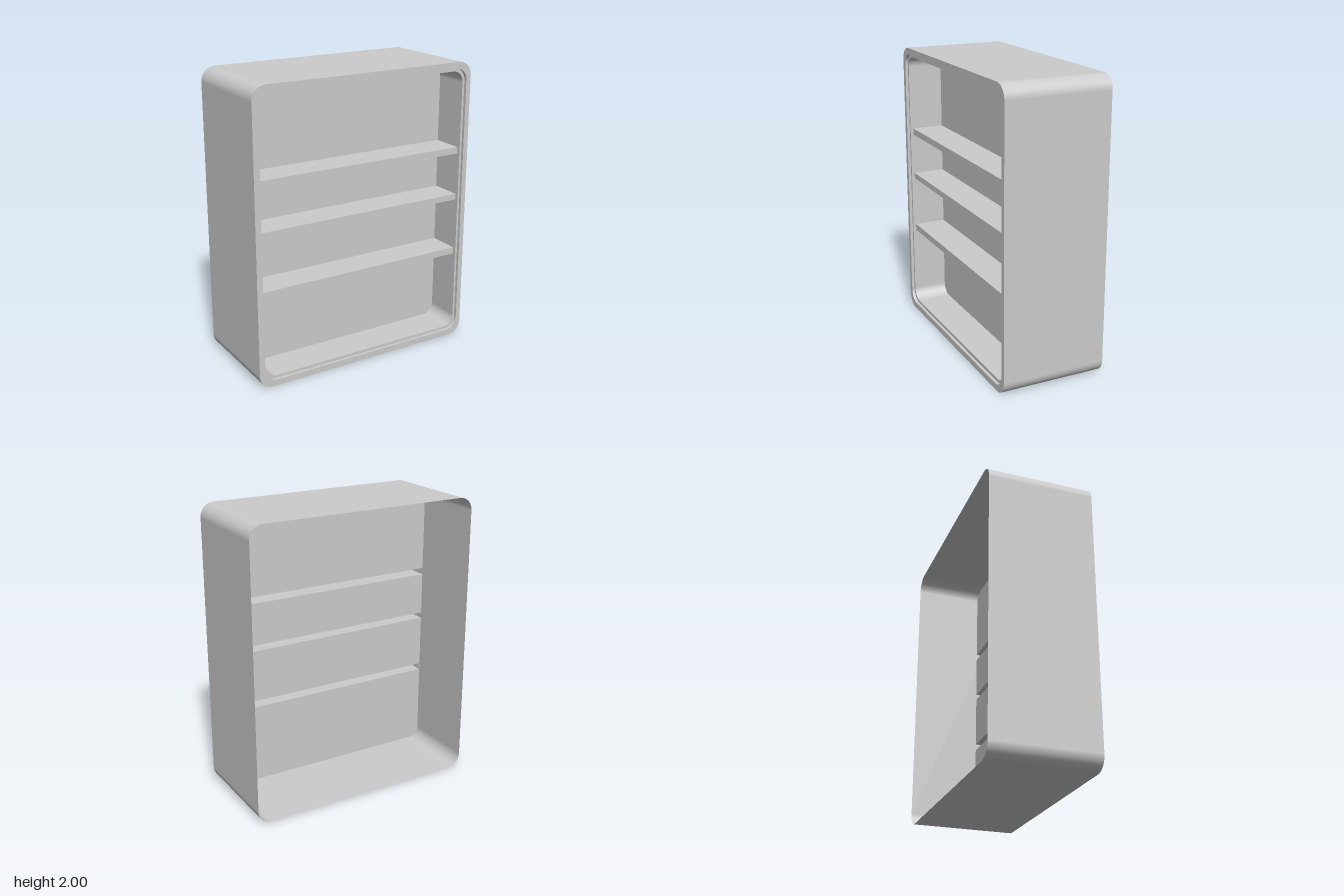
import * as THREE from 'three';

const material = new THREE.MeshStandardMaterial({ color: 0xcccccc, side: THREE.DoubleSide });
const CY = 1; // height of the cabinet centre
const FRONT = 0.363, LIP = 0.343, PANEL = 0.097, SHELF_FRONT = 0.322;
const INNER = { w: 0.767, h: 0.936, r: 0.08 };

// Rounded rectangle (half sizes w, h) as points with outward normals, counter-clockwise
function ring({ w, h, r, y = CY }, segments) {
  const points = [];
  [[1, 1], [-1, 1], [-1, -1], [1, -1]].forEach(([sx, sy], corner) => {
    for (let i = 0; i <= segments; i++) {
      const a = (corner + i / segments) * Math.PI / 2;
      const nx = Math.cos(a), ny = Math.sin(a);
      points.push({ x: sx * (w - r) + nx * r, y: y + sy * (h - r) + ny * r, nx, ny });
    }
  });
  return points;
}

// Strip between two rings: a wall when z changes, a flat rim when it does not
function band(name, from, zFrom, to, zTo, segments = 12) {
  const a = ring(from, segments), b = ring(to, segments), n = a.length;
  const position = [], normal = [], index = [];
  const side = Math.sign(zTo - zFrom);
  [[a, zFrom], [b, zTo]].forEach(([loop, z]) => loop.forEach((p) => {
    position.push(p.x, p.y, z);
    normal.push(p.nx * side, p.ny * side, side === 0 ? 1 : 0);
  }));
  for (let i = 0; i < n; i++) {
    const j = (i + 1) % n;
    index.push(i, j, n + j, i, n + j, n + i);
  }
  const geometry = new THREE.BufferGeometry();
  geometry.setAttribute('position', new THREE.Float32BufferAttribute(position, 3));
  geometry.setAttribute('normal', new THREE.Float32BufferAttribute(normal, 3));
  geometry.setIndex(index);
  return mesh(name, geometry);
}

function mesh(name, geometry) {
  const m = new THREE.Mesh(geometry, material);
  m.name = name;
  return m;
}

export function createModel() {
  const group = new THREE.Group();
  group.name = 'shelfCabinet';

  const outer = { w: 0.818, h: 1, r: 0.095 };
  const step = { w: 0.783, h: 0.957, r: 0.085 };

  // Casing, open at the back, with a stepped front rim and an inset cavity
  group.add(
    band('outerCasing', outer, -FRONT, outer, FRONT),
    band('frontRim', outer, FRONT, step, FRONT),
    band('rimStep', step, FRONT, step, LIP),
    band('innerRim', step, LIP, INNER, LIP),
    band('cavityWall', INNER, LIP, INNER, PANEL),
  );

  // Back panel, slotted behind each hollow shelf
  const panel = new THREE.Shape(ring(INNER, 12).map((p) => new THREE.Vector2(p.x, p.y)));

  for (const [bottom, top] of [[0.614, 0.66], [1.022, 1.063], [1.356, 1.402]]) {
    const w = INNER.w - 0.001, h = (top - bottom) / 2, y = (top + bottom) / 2;
    panel.holes.push(new THREE.Path([[-w, bottom], [-w, top], [w, top], [w, bottom]]
      .map(([px, py]) => new THREE.Vector2(px, py))));

    const shelf = new THREE.Group();
    shelf.name = 'shelf';
    const section = { w, h, r: 0, y };
    const front = mesh('shelfFront', new THREE.PlaneGeometry(2 * w, 2 * h));
    front.position.set(0, y, SHELF_FRONT);
    shelf.add(band('shelfBody', section, PANEL, section, SHELF_FRONT, 1), front);
    group.add(shelf);
  }

  const back = mesh('backPanel', new THREE.ShapeGeometry(panel));
  back.position.z = PANEL;
  group.add(back);
  return group;
}
